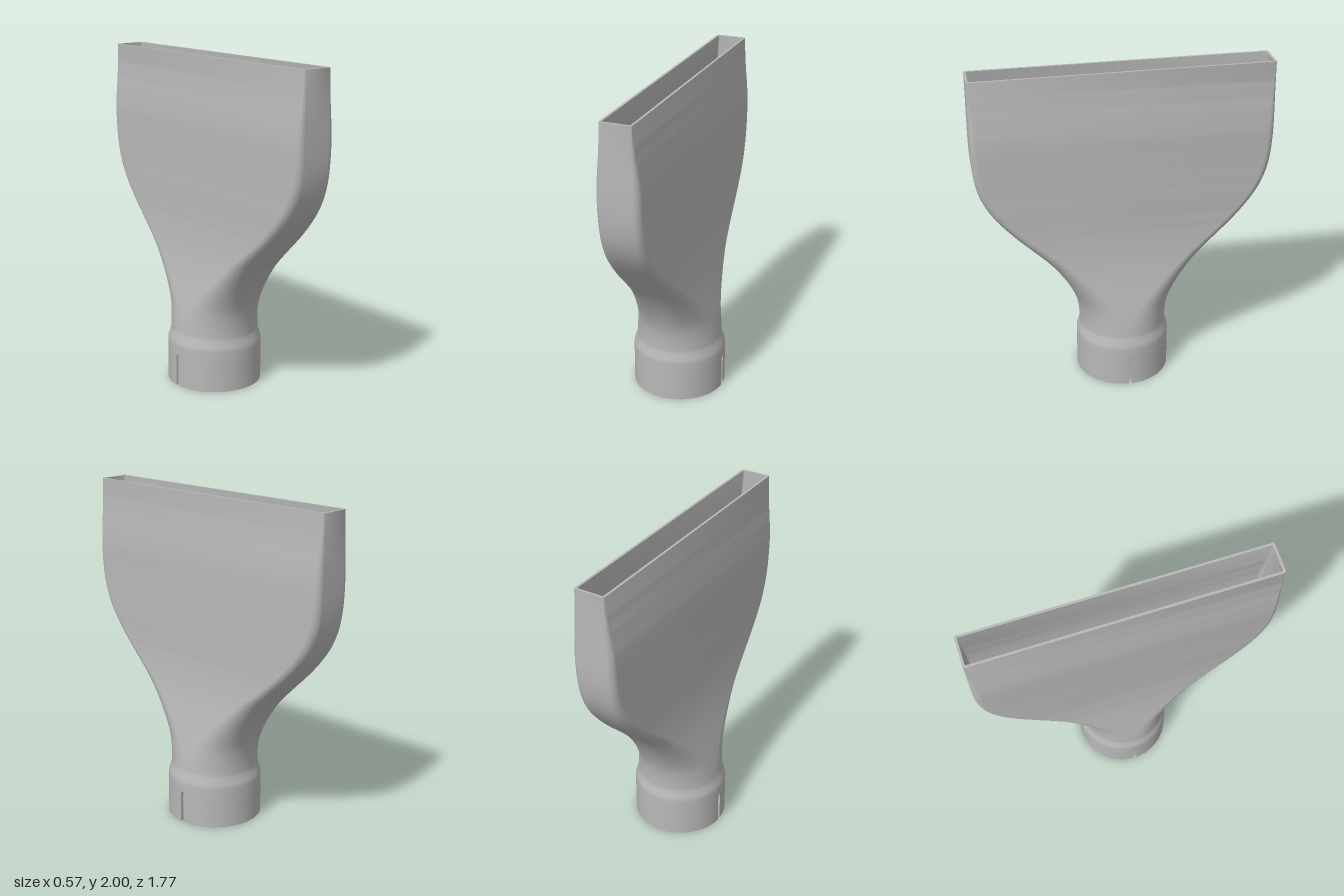
import * as THREE from 'three';
import { toCreasedNormals } from 'three/addons/utils/BufferGeometryUtils.js';

const SLOT_TOP = 0.2, COLLAR_R = 0.287, COLLAR_INNER = 0.268, SLOT_HALF = 0.011;
const ARC = 16; // segments per rounded corner

// Cross-sections above the collar: height, half width x, half depth z, corner radius
const SECTIONS = [
  [0.33, 0.265, 0.268, 0.265], [0.41, 0.254, 0.271, 0.252], [0.5, 0.236, 0.287, 0.228],
  [0.6, 0.213, 0.326, 0.185], [0.7, 0.191, 0.382, 0.145], [0.8, 0.172, 0.455, 0.115],
  [0.9, 0.158, 0.55, 0.092], [1.0, 0.148, 0.65, 0.076], [1.1, 0.142, 0.738, 0.066],
  [1.2, 0.137, 0.808, 0.058], [1.3, 0.133, 0.853, 0.052], [1.4, 0.131, 0.876, 0.047],
  [1.5, 0.13, 0.885, 0.043], [1.6, 0.129, 0.887, 0.04], [1.7, 0.121, 0.887, 0.034],
  [1.8, 0.109, 0.886, 0.025], [1.9, 0.099, 0.885, 0.015], [2.0, 0.094, 0.885, 0.012],
];

// Smoothly refined list of the sections
function refine(count) {
  const curves = [1, 2, 3].map((k) => new THREE.SplineCurve(
    SECTIONS.map((s) => new THREE.Vector2(s[0], s[k]))));
  return Array.from({ length: count + 1 }, (_, i) => {
    const p = curves.map((c) => c.getPoint(i / count));
    return [p[0].x, p[0].y, p[1].y, p[2].y];
  });
}

// Rounded rectangle in the xz plane, starting near +x and turning towards +z
function outline([y, a, b, r]) {
  const points = [];
  [[1, 1], [-1, 1], [-1, -1], [1, -1]].forEach(([sx, sz], q) => {
    for (let i = 0; i <= ARC; i++) {
      const t = (q + i / ARC) * Math.PI / 2;
      points.push([sx * (a - r) + r * Math.cos(t), y, sz * (b - r) + r * Math.sin(t)]);
    }
  });
  return points;
}

// Closed skin over rows that run up the outside and down the inside
function loft(rows) {
  const rings = rows.map(outline), n = rings[0].length, m = rings.length;
  const index = [];
  for (let i = 0; i < m; i++) {
    for (let j = 0; j < n; j++) {
      const i2 = (i + 1) % m, j2 = (j + 1) % n;
      const a = i * n + j, b = i2 * n + j, c = i2 * n + j2, d = i * n + j2;
      index.push(a, b, c, a, c, d);
    }
  }
  const geometry = new THREE.BufferGeometry();
  geometry.setAttribute('position', new THREE.Float32BufferAttribute(rings.flat(2), 3));
  geometry.setIndex(index);
  return toCreasedNormals(geometry, 0.6);
}

// Half of the slotted sleeve, open at both x ends
function sleeveHalf() {
  const outer = Math.asin(SLOT_HALF / COLLAR_R), inner = Math.asin(SLOT_HALF / COLLAR_INNER);
  const shape = new THREE.Shape();
  shape.absarc(0, 0, COLLAR_R, outer, Math.PI - outer, false);
  shape.absarc(0, 0, COLLAR_INNER, Math.PI - inner, inner, true);
  shape.closePath();
  const geometry = new THREE.ExtrudeGeometry(shape, {
    depth: SLOT_TOP, bevelEnabled: false, curveSegments: 32,
  });
  geometry.rotateX(-Math.PI / 2);
  return toCreasedNormals(geometry, 0.6);
}

export function createModel() {
  const group = new THREE.Group();
  group.name = 'flatNozzle';
  const metal = new THREE.MeshStandardMaterial({ color: 0xb8b8b8 });
  metal.name = 'greyMetal';

  // Flared body with its wall thickness and the shoulder above the sleeve
  const round = (y, r) => [y, r, r, r];
  const skin = refine(68);
  const outside = [round(SLOT_TOP, COLLAR_R), round(0.25, COLLAR_R), round(0.265, 0.286),
    round(0.28, 0.282), round(0.315, 0.27), ...skin];
  const inside = skin.map(([y, a, b, r]) => {
    const wall = THREE.MathUtils.lerp(0.02, 0.014, (y - 0.33) / 1.67);
    return [y, a - wall, b - wall, Math.max(r - wall, 0.004)];
  }).reverse();
  const body = new THREE.Mesh(loft([...outside, ...inside,
    round(0.27, 0.247), round(0.262, COLLAR_INNER), round(SLOT_TOP, COLLAR_INNER)]), metal);
  body.name = 'flaredBody';
  group.add(body);

  // Round sleeve split by a slot on each side
  [0, Math.PI].forEach((turn, i) => {
    const half = new THREE.Mesh(sleeveHalf(), metal);
    half.rotation.y = turn;
    half.name = i ? 'frontSleeveHalf' : 'backSleeveHalf';
    group.add(half);
  });
  return group;
}
